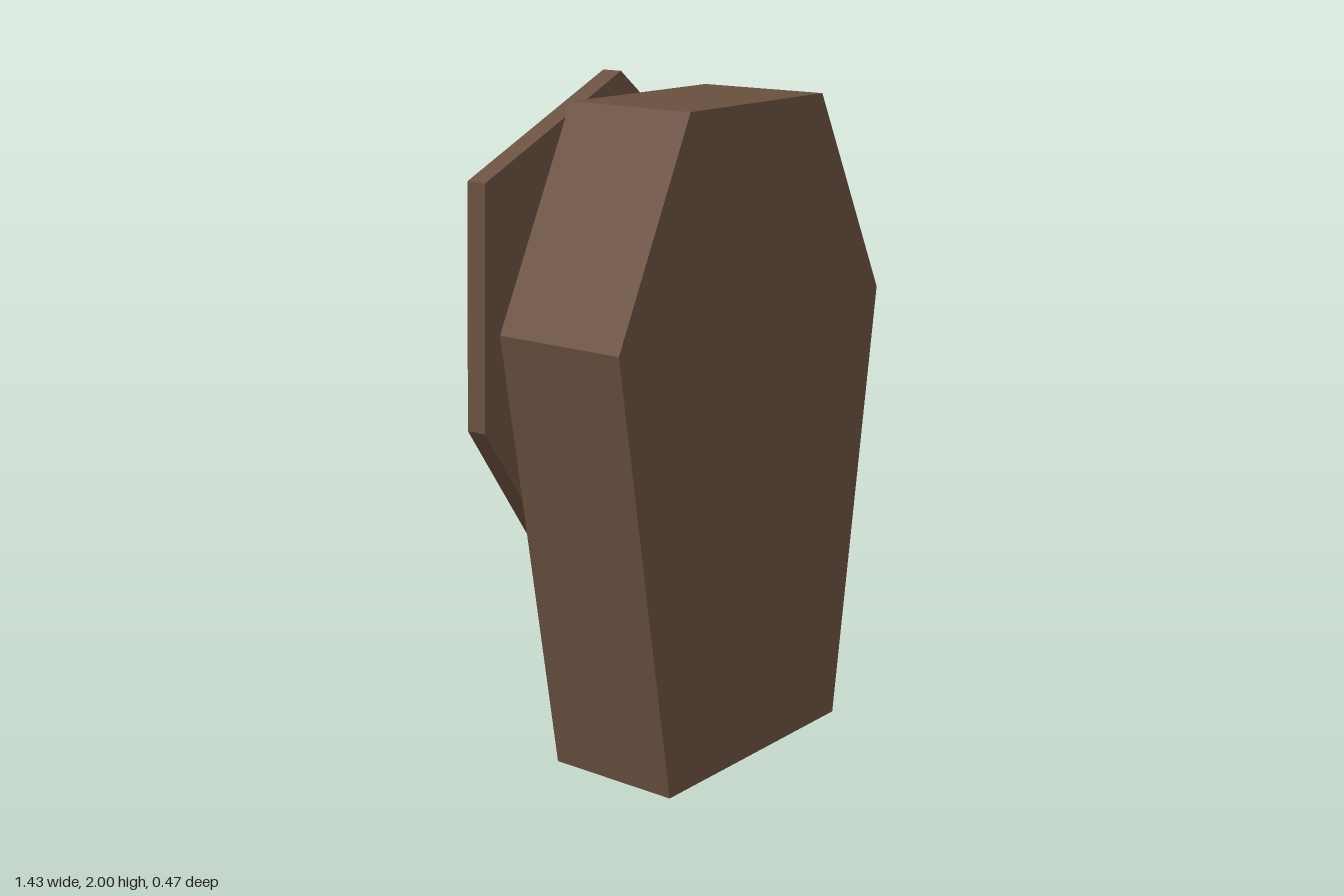
import * as THREE from 'three';

const CENTRE_X = -0.0675;

// Closed loop from a right-hand half profile, mirrored about the box centre line
function mirrored(half) {
  const right = half.map(([x, y]) => new THREE.Vector2(CENTRE_X + x, y));
  const left = half.map(([x, y]) => new THREE.Vector2(CENTRE_X - x, y)).reverse();
  return [...right, ...left];
}

// Flat slab between two z positions, with an optional opening
function slab(name, outline, zBack, zFront, material, opening) {
  const shape = new THREE.Shape(outline);
  if (opening) shape.holes.push(new THREE.Path(opening));
  const geometry = new THREE.ExtrudeGeometry(shape, { depth: zFront - zBack, bevelEnabled: false });
  geometry.translate(0, 0, zBack);
  const mesh = new THREE.Mesh(geometry, material);
  mesh.name = name;
  return mesh;
}

export function createModel() {
  const wood = new THREE.MeshStandardMaterial({ color: 0x6b5140 });
  wood.name = 'brown wood';

  const outer = mirrored([[0.39, 0.08], [0.584, 1.35], [0.292, 1.935]]);
  const inner = mirrored([[0.347, 0.13], [0.533, 1.342], [0.262, 1.885]]);

  // Six-sided lid, tilted across the open back
  const lid = [
    [-0.013, 0.003], [0.713, 0.333], [0.365, 1.587],
    [-0.15, 2.0], [-0.692, 1.755], [-0.717, 1.095],
  ].map(([x, y]) => new THREE.Vector2(x, y));

  const model = new THREE.Group();
  model.name = 'coffin';

  // Hollow box: walls around an opening, closed by the base panel at the front
  const box = new THREE.Group();
  box.name = 'box';
  box.add(
    slab('walls', outer, -0.172, 0.17, wood, inner),
    slab('basePanel', outer, 0.17, 0.235, wood),
  );
  model.add(box, slab('lid', lid, -0.235, -0.172, wood));
  return model;
}
